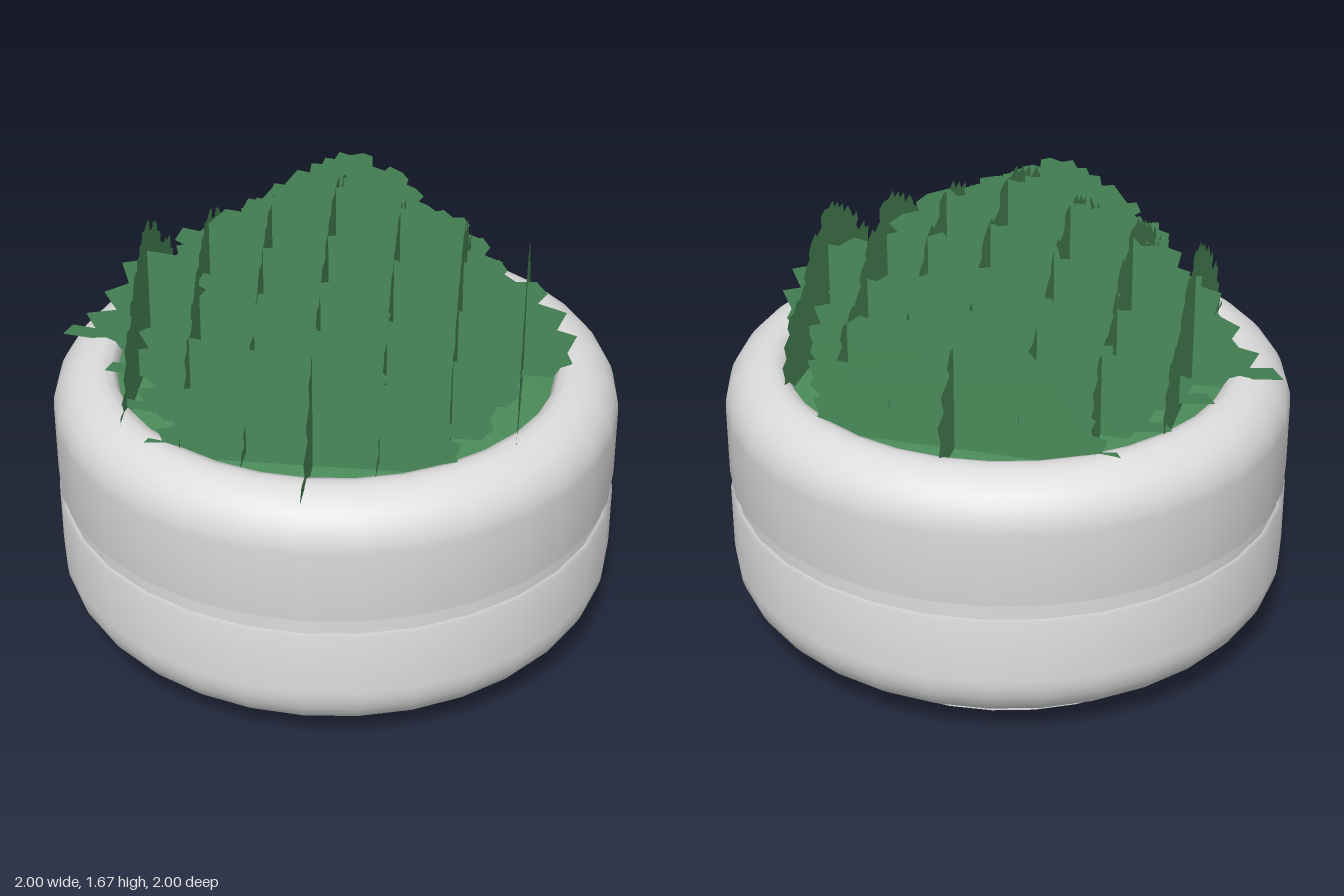
import * as THREE from 'three';

const SEGMENTS = 32;

export function createModel() {
  const potMat = new THREE.MeshStandardMaterial({ color: 0xdcdcdc });
  potMat.name = 'pale grey ceramic';
  const leafMat = new THREE.MeshStandardMaterial({ color: 0x4a8a59, side: THREE.DoubleSide });
  leafMat.name = 'leaf green';

  const model = new THREE.Group();
  model.name = 'pottedShrub';
  const pot = new THREE.Group();
  pot.name = 'pot';
  const shrub = new THREE.Group();
  shrub.name = 'shrub';
  model.add(pot, shrub);

  const lathe = (name, points, material, parent) => {
    const geo = new THREE.LatheGeometry(points.map(([x, y]) => new THREE.Vector2(x, y)), SEGMENTS);
    const mesh = new THREE.Mesh(geo, material);
    mesh.name = name;
    parent.add(mesh);
  };
  // quarter-round profile between two angles
  const arc = (cx, cy, r, from, to, steps = 8) => Array.from({ length: steps + 1 }, (_, i) => {
    const a = from + (to - from) * i / steps;
    return [cx + r * Math.cos(a), cy + r * Math.sin(a)];
  });

  // Pot: foot ring, hollow underside, two rounded halves and the groove between them
  lathe('footOuter', [[0.75, 0], [0.75, 0.1]], potMat, pot);
  lathe('footEdge', [[0.735, 0], [0.75, 0]], potMat, pot);
  lathe('hollowWall', [[0.735, 0.55], [0.735, 0]], potMat, pot);
  lathe('hollowCeiling', [[0, 0.55], [0.735, 0.55]], potMat, pot);
  lathe('lowerBody', [[0.74, 0.09], ...arc(0.8, 0.29, 0.2, -Math.PI / 2, 0),
    [1, 0.525], [0.97, 0.525]], potMat, pot);
  lathe('groove', [[0.98, 0.52], [0.98, 0.595]], potMat, pot);
  lathe('upperBody', [[0.97, 0.59], [1, 0.59], ...arc(0.825, 0.85, 0.175, 0, Math.PI / 2),
    [0.79, 1.01], [0.772, 0.98], [0.772, 0.9]], potMat, pot);

  // Planting surface, softly shaded toward its edge
  lathe('plantingSurface', [[0.77, 0.8], [0.77, 0.97], [0, 0.97]], leafMat, shrub);

  // Ragged leaf outline, from the left tip over the top to the right
  const outline = [
    [-0.98, 1.03], [-0.94, 1.07], [-0.86, 1.06], [-0.89, 1.12], [-0.78, 1.14], [-0.82, 1.21],
    [-0.73, 1.25], [-0.75, 1.33], [-0.68, 1.345], [-0.68, 1.385], [-0.56, 1.37], [-0.52, 1.41],
    [-0.56, 1.43], [-0.53, 1.48], [-0.47, 1.47], [-0.38, 1.56], [-0.3, 1.55], [-0.29, 1.6],
    [-0.22, 1.6], [-0.2, 1.635], [-0.14, 1.63], [-0.11, 1.67], [-0.04, 1.655], [0.04, 1.67],
    [0.1, 1.655], [0.1, 1.6], [0.18, 1.58], [0.21, 1.605], [0.29, 1.575], [0.33, 1.54],
    [0.32, 1.51], [0.38, 1.49], [0.43, 1.45], [0.4, 1.42], [0.46, 1.4], [0.51, 1.37],
    [0.56, 1.38], [0.62, 1.34], [0.69, 1.345], [0.73, 1.3], [0.7, 1.26], [0.8, 1.23],
    [0.77, 1.16], [0.84, 1.14], [0.81, 1.07], [0.83, 1.03], [0.74, 0.95], [-0.74, 0.95], [-0.8, 1.01],
  ];
  const widths = [1, 0.8, 0.7, 0.58];
  const heights = [1, 0.9, 0.82, 0.74];
  const base = 0.95;
  const sheets = widths.map((w, i) => new THREE.ShapeGeometry(new THREE.Shape(
    outline.map(([x, y]) => new THREE.Vector2(x * w, base + (y - base) * heights[i])))));

  // Two crossing rows of leaf sheets, shrinking away from the middle
  for (const turn of [0, Math.PI / 2]) {
    const row = new THREE.Group();
    row.name = turn ? 'leafRowSideways' : 'leafRowFrontal';
    row.rotation.y = turn;
    for (let i = -3; i <= 3; i++) {
      const sheet = new THREE.Mesh(sheets[Math.abs(i)], leafMat);
      sheet.name = 'leafSheet';
      sheet.position.z = i * 0.22;
      row.add(sheet);
    }
    shrub.add(row);
  }
  return model;
}
